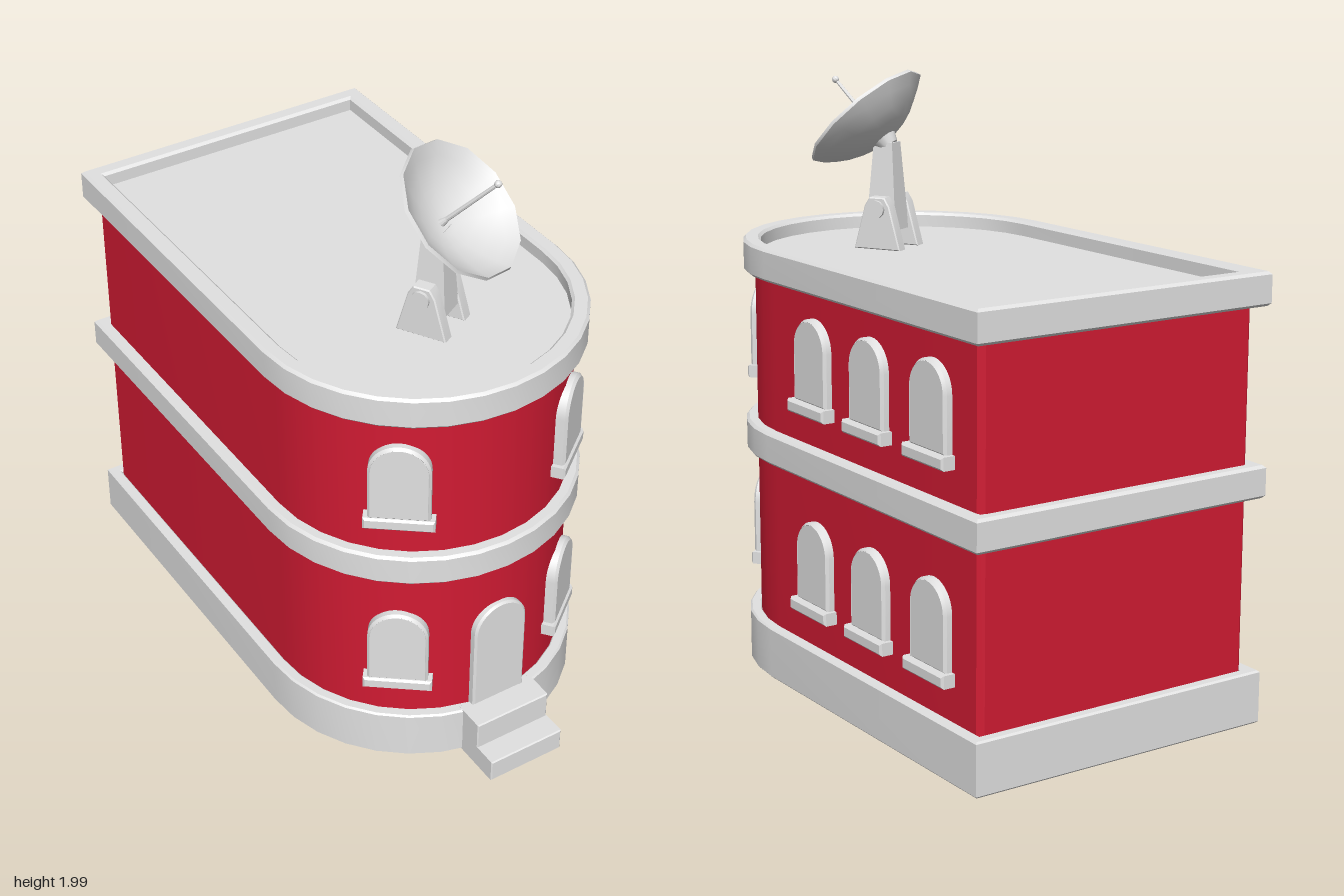
import * as THREE from 'three';
import { toCreasedNormals } from 'three/addons/utils/BufferGeometryUtils.js';

const R = 0.503, ARC_Z = 0.262, BACK_Z = -0.91;
const grey = new THREE.MeshStandardMaterial({ color: 0xe2e2e2 });
grey.name = 'light grey stone';
const red = new THREE.MeshStandardMaterial({ color: 0xd21b33 });
red.name = 'red wall';

function add(parent, name, geo, mat, x = 0, y = 0, z = 0) {
  const m = new THREE.Mesh(toCreasedNormals(geo, 0.56), mat);
  m.name = name;
  m.position.set(x, y, z);
  parent.add(m);
  return m;
}

// Extruded shape from z = 0 to depth, with optional holes and bevelled edges
function plate(shape, depth, holes = [], bevel = 0) {
  shape.holes.push(...holes);
  const geo = new THREE.ExtrudeGeometry(shape, {
    depth: depth - 2 * bevel, curveSegments: 10, bevelEnabled: bevel > 0, bevelThickness: bevel,
    bevelSize: bevel, bevelOffset: -bevel, bevelSegments: 1
  });
  return geo.translate(0, 0, bevel);
}

const polygon = pts => new THREE.Shape(pts.map(p => new THREE.Vector2(p[0], p[1])));
const rect = (w, h, x = 0, y = 0) => polygon([
  [x - w / 2, y - h / 2], [x + w / 2, y - h / 2], [x + w / 2, y + h / 2], [x - w / 2, y + h / 2]]);
const bevelBox = (w, h, d, bevel) => plate(rect(w, h), d, [], bevel).translate(0, 0, -d / 2);

// Round-headed opening standing on y = y0
function arch(w, h, y0 = 0) {
  const r = w / 2, s = new THREE.Shape();
  s.moveTo(-r, y0);
  s.lineTo(r, y0);
  s.lineTo(r, h - r);
  s.absarc(0, h - r, r, 0, Math.PI, false);
  return s;
}

// D-shaped floor plan, grown by off; shape y is -z
function plan(off, chamfer = 0) {
  const r = R + off, back = -BACK_Z + off, pts = [];
  if (chamfer) pts.push([-r + chamfer, back], [-r, back - chamfer]);
  else pts.push([-r, back]);
  for (let i = 16; i >= 0; i--) {
    const a = (i / 16) * Math.PI;
    pts.push([r * Math.cos(a), -ARC_Z - r * Math.sin(a)]);
  }
  if (chamfer) pts.push([r, back - chamfer], [r - chamfer, back]);
  else pts.push([r, back]);
  return polygon(pts);
}

// Slab or ring between two heights
function storey(parent, name, mat, y0, y1, outer, holes = [], bevel = 0) {
  const geo = plate(outer, y1 - y0, holes, bevel).rotateX(-Math.PI / 2);
  return add(parent, name, geo, mat, 0, y0, 0);
}

// Arched window, origin at the sill top on the wall face, facing +z
function makeWindow(sillOut) {
  const g = new THREE.Group();
  g.name = 'window';
  add(g, 'windowPane', plate(arch(0.16, 0.26), 0.008), grey, 0, 0, -0.003);
  add(g, 'windowRail', bevelBox(0.14, 0.022, 0.016, 0.006), grey, 0, 0.143, 0.006);
  add(g, 'windowFrame', plate(arch(0.194, 0.276), 0.058, [arch(0.162, 0.259, 0.006)], 0.009), grey, 0, 0, -0.03);
  add(g, 'windowInnerFrame', plate(arch(0.166, 0.262), 0.04, [arch(0.142, 0.25, 0.008)], 0.005), grey, 0, 0, -0.024);
  add(g, 'windowSill', bevelBox(0.222, 0.042, sillOut + 0.03, 0.007), grey, 0, -0.016, (sillOut - 0.03) / 2);
  return g;
}

function makeDoor() {
  const g = new THREE.Group();
  g.name = 'door';
  add(g, 'doorPanel', plate(arch(0.17, 0.385), 0.012), grey, 0, 0, -0.012);
  // Leaf pierced by six square lights and a fanlight
  const lights = [];
  for (const y of [0.058, 0.157, 0.256]) for (const x of [-0.037, 0.037]) lights.push(rect(0.05, 0.078, x, y));
  const fan = new THREE.Shape();
  fan.absarc(0, 0.313, 0.056, 0, Math.PI, false);
  lights.push(fan);
  add(g, 'doorLeaf', plate(arch(0.166, 0.383), 0.024, lights, 0.007), grey, 0, 0, -0.012);
  add(g, 'doorFrame', plate(arch(0.196, 0.4), 0.042, [arch(0.162, 0.382, 0.002)], 0.007), grey, 0, 0, -0.024);
  return g;
}

function makeDish() {
  const mount = new THREE.Group();
  mount.name = 'satelliteDish';
  // Two bracket cheeks with a through bolt
  const cheek = [[-0.085, 0], [0.085, 0], [0.046, 0.145], [0.028, 0.174], [-0.028, 0.174], [-0.046, 0.145]];
  for (const x of [-0.066, 0.066]) {
    const geo = plate(polygon(cheek), 0.046, [], 0.004);
    geo.translate(0, 0, -0.023).rotateY(Math.PI / 2);
    add(mount, 'bracketCheek', geo, grey, x);
  }
  const bolt = new THREE.CylinderGeometry(0.03, 0.03, 0.198, 12);
  add(mount, 'bracketBolt', bolt.rotateZ(Math.PI / 2), grey, 0, 0.135, 0);
  // Tapered mast
  const mast = new THREE.CylinderGeometry(0.042, 0.068, 0.29, 4);
  mast.rotateY(Math.PI / 4).scale(1, 1, 1.15);
  add(mount, 'mast', mast, grey, 0, 0.205, 0.006);

  // Bowl, tilted up and forward
  const bowl = new THREE.Group();
  bowl.name = 'dishBowl';
  bowl.position.set(0, 0.363, 0.02);
  bowl.rotation.x = THREE.MathUtils.degToRad(44);
  const curve = r => 0.1 * (r / 0.23) ** 2;
  const radii = [0, 0.05, 0.1, 0.15, 0.195, 0.23];
  const pts = radii.map(r => new THREE.Vector2(r, curve(r) - 0.012));
  for (const r of [...radii].reverse()) pts.push(new THREE.Vector2(Math.max(0, r - 0.004), curve(r)));
  add(bowl, 'reflector', new THREE.LatheGeometry(pts, 12), grey);
  add(bowl, 'reflectorHub', new THREE.CylinderGeometry(0.045, 0.03, 0.035, 12), grey, 0, -0.02, 0);
  add(bowl, 'antennaBase', new THREE.CylinderGeometry(0.008, 0.014, 0.03, 10), grey, 0, 0.012, 0);
  add(bowl, 'antennaRod', new THREE.CylinderGeometry(0.006, 0.008, 0.25, 8), grey, 0, 0.13, 0);
  add(bowl, 'antennaTip', new THREE.SphereGeometry(0.012, 10, 8), grey, 0, 0.258, 0);
  mount.add(bowl);
  return mount;
}

export function createModel() {
  const model = new THREE.Group();
  model.name = 'building';
  const body = new THREE.Group();
  body.name = 'buildingBody';
  body.position.x = -0.005;
  model.add(body);

  // Walls, stone bands, floor and sunken roof
  storey(body, 'walls', red, 0, 1.37, plan(0, 0.018), [plan(-0.01)]);
  storey(body, 'baseBand', grey, 0, 0.175, plan(0.038), [plan(-0.002)], 0.006);
  storey(body, 'middleBand', grey, 0.738, 0.844, plan(0.038), [plan(-0.012)], 0.009);
  storey(body, 'parapet', grey, 1.343, 1.45, plan(0.038), [plan(-0.02)], 0.009);
  storey(body, 'floor', grey, 0.165, 0.185, plan(-0.009));
  storey(body, 'roof', grey, 1.375, 1.4, plan(-0.008));

  // Windows on both storeys: three on one side, two on the curved front
  for (const y of [0.322, 0.985]) {
    for (const z of [0.005, -0.33, -0.67]) {
      const w = makeWindow(0.047);
      w.position.set(R - 0.001, y, z);
      w.rotation.y = Math.PI / 2;
      body.add(w);
    }
    for (const side of [-1, 1]) {
      const a = side * THREE.MathUtils.degToRad(38), w = makeWindow(0.034);
      w.position.set(Math.sin(a) * (R - 0.002), y, ARC_Z + Math.cos(a) * (R - 0.002));
      w.rotation.y = a;
      body.add(w);
    }
  }

  // Entrance
  const door = makeDoor();
  door.position.set(0, 0.174, ARC_Z + R);
  body.add(door);
  add(body, 'lowerStep', bevelBox(0.275, 0.08, 0.2, 0.004), grey, 0, 0.04, 0.85);
  add(body, 'upperStep', bevelBox(0.275, 0.1, 0.11, 0.004), grey, 0, 0.126, 0.813);

  const dish = makeDish();
  dish.position.set(0.01, 1.4, 0.35);
  dish.rotation.y = Math.PI / 6;
  body.add(dish);
  return model;
}
